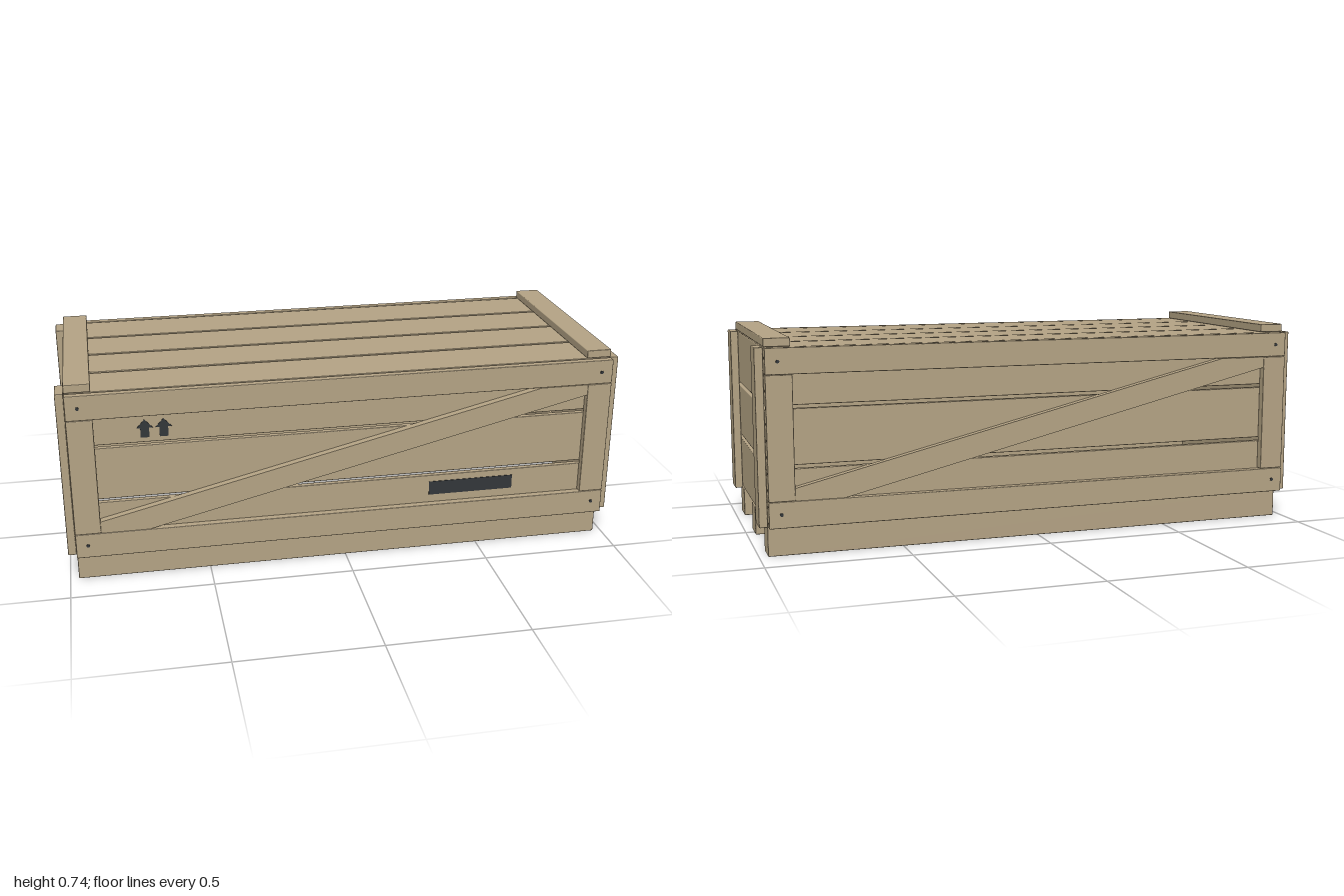
import * as THREE from 'three';
import { RoundedBoxGeometry } from 'three/addons/geometries/RoundedBoxGeometry.js';

const wood = new THREE.MeshStandardMaterial({ color: 0xb5a485 });
wood.name = 'wood';
const ink = new THREE.MeshStandardMaterial({ color: 0x33373a });
ink.name = 'dark ink';

// Board with slightly eased edges, given by its limits on each axis
function board(parent, name, [x0, x1], [y0, y1], [z0, z1]) {
  const mesh = new THREE.Mesh(
    new RoundedBoxGeometry(x1 - x0, y1 - y0, z1 - z0, 1, 0.003), wood);
  mesh.position.set((x0 + x1) / 2, (y0 + y1) / 2, (z0 + z1) / 2);
  mesh.name = name;
  parent.add(mesh);
}

// Flat outline in x and y, extruded along z
function plate(parent, name, points, z, depth, material) {
  const shape = new THREE.Shape(points.map(([x, y]) => new THREE.Vector2(x, y)));
  const mesh = new THREE.Mesh(
    new THREE.ExtrudeGeometry(shape, { depth, bevelEnabled: false }), material);
  mesh.position.z = z;
  mesh.name = name;
  parent.add(mesh);
}

const END = 0.97, INNER = 0.88, SIDE = 0.388, FACE = 0.417;
const LOW = 0.106, HIGH = 0.712;
const slats = [[0.11, 0.301], [0.314, 0.505], [0.517, 0.709]];

// Long wall: three slats, rails, stiles, diagonal brace and nails
function longWall(name) {
  const wall = new THREE.Group();
  wall.name = name;
  for (const y of slats) board(wall, 'wallSlat', [-END, END], y, [0.367, SIDE]);
  const z = [SIDE + 0.001, FACE];
  board(wall, 'bottomRail', [-END, END], [LOW, 0.196], z);
  board(wall, 'topRail', [-END, END], [0.623, HIGH], z);
  for (const s of [-1, 1]) {
    const mid = s * (END + INNER) / 2;
    board(wall, 'stile', [mid - 0.045, mid + 0.045], [0.197, 0.622], z);
    for (const y of [0.153, 0.667]) {
      const nail = new THREE.Mesh(new THREE.CylinderGeometry(0.006, 0.006, 0.006, 10), ink);
      nail.rotation.x = Math.PI / 2;
      nail.position.set(s * 0.928, y, FACE);
      nail.name = 'nail';
      wall.add(nail);
    }
  }
  plate(wall, 'diagonalBrace', [[-INNER, 0.197], [-0.71, 0.197], [INNER, 0.583],
    [INNER, 0.622], [0.705, 0.622], [-INNER, 0.24]], SIDE, FACE - SIDE - 0.001, wood);
  return wall;
}

export function createModel() {
  const crate = new THREE.Group();
  crate.name = 'crate';

  // Skids under the open base
  for (const z of [-0.325, 0, 0.325])
    board(crate, 'skid', [-END, END], [0, 0.104], [z - 0.044, z + 0.044]);

  // Matching long walls, one turned half round
  const front = longWall('frontWall');
  const back = longWall('backWall');
  back.rotation.y = Math.PI;
  crate.add(front, back);

  // End walls with outer battens
  for (const s of [-1, 1]) {
    const span = (a, b) => (s > 0 ? [a, b] : [-b, -a]);
    for (const y of slats) board(crate, 'endSlat', span(0.949, END), y, [-0.367, 0.367]);
    for (const z of [[0.3, SIDE], [-SIDE, -0.3]])
      board(crate, 'endBatten', span(END + 0.001, 1), [LOW, HIGH], z);
    board(crate, 'lidBatten', span(INNER, END), [0.713, 0.742], [-SIDE, SIDE]);
  }

  // Lid slats with narrow gaps
  for (let i = 0; i < 4; i++) {
    const z = (i - 1.5) * 0.194;
    board(crate, 'lidSlat', [-0.969, 0.969], [0.691, HIGH], [z - 0.092, z + 0.092]);
  }

  // Painted marks: two upright arrows and a label bar
  for (const x of [-0.708, -0.643])
    plate(crate, 'arrowMark', [[-0.015, 0.535], [0.015, 0.535], [0.015, 0.57], [0.028, 0.57],
      [0, 0.601], [-0.028, 0.57], [-0.015, 0.57]].map(([u, v]) => [x + u, v]), SIDE, 0.002, ink);
  plate(crate, 'labelBar', [[0.306, 0.224], [0.622, 0.224], [0.622, 0.276], [0.306, 0.276]],
    SIDE, 0.002, ink);

  return crate;
}
